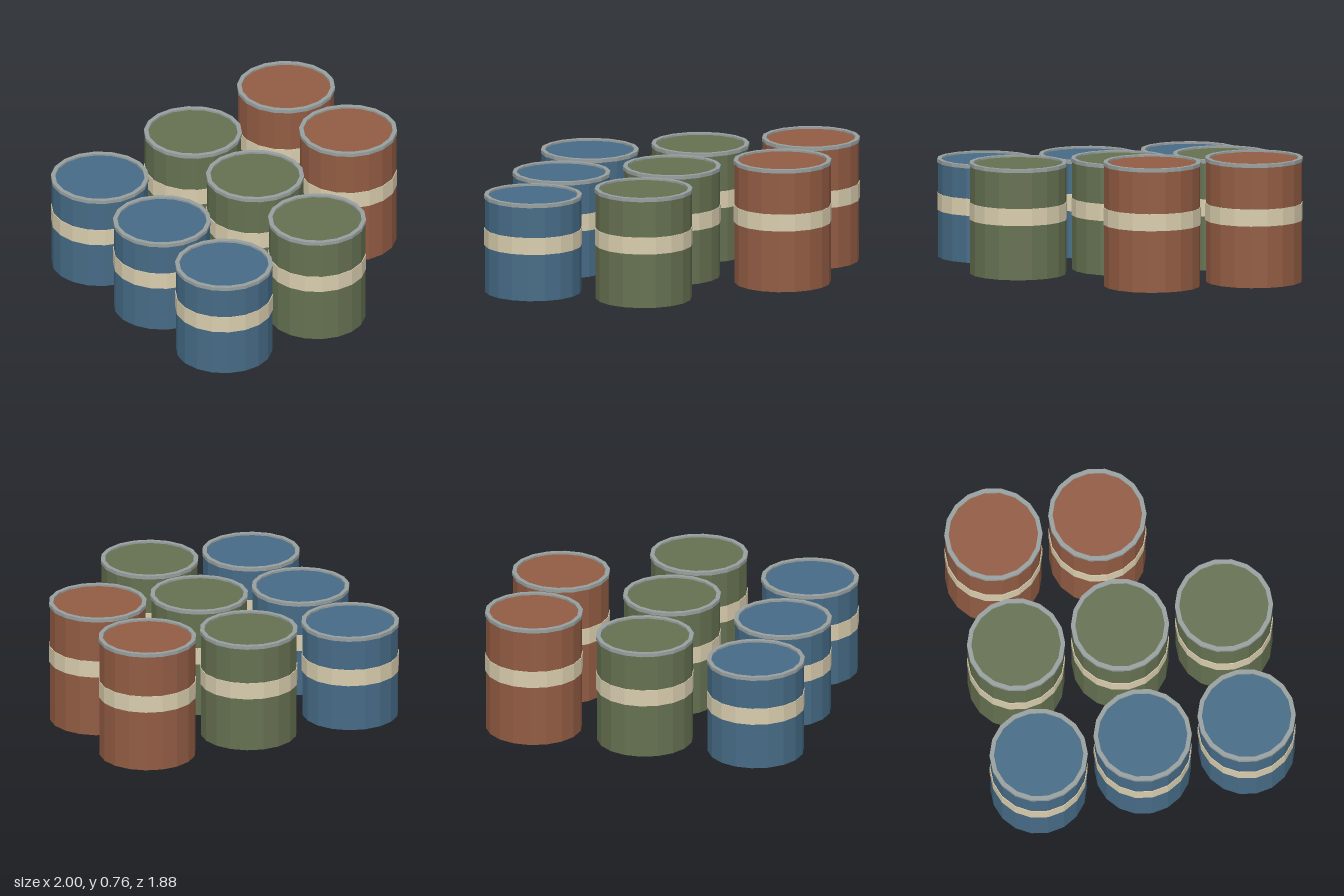
import * as THREE from 'three';

const SIDES = 18;
const RADIUS = 0.295;
const RIM_DROP = 0.022;

function paint(name, color) {
  const material = new THREE.MeshStandardMaterial({ color, flatShading: true });
  material.name = name;
  return material;
}

export function createModel() {
  const cream = paint('cream', 0xd9cdae);
  const steel = paint('steel', 0x98a09f);
  // one column of drums per colour
  const columns = [
    { name: 'blue', x: -0.7, height: 0.605, band: 0.343, rows: [-1, 0, 1], paint: paint('blue', 0x466b86) },
    { name: 'green', x: 0, height: 0.685, band: 0.388, rows: [-1, 0, 1], paint: paint('green', 0x657151) },
    { name: 'rust', x: 0.7, height: 0.765, band: 0.433, rows: [-1, 0], paint: paint('rust', 0x925c43) },
  ];

  function part(parent, name, geometry, material, y) {
    const mesh = new THREE.Mesh(geometry, material);
    mesh.name = name;
    mesh.position.y = y;
    parent.add(mesh);
  }

  // band wrapped around the drum
  const bandGeometry = new THREE.CylinderGeometry(0.299, 0.299, 0.105, SIDES);
  // raised lip with a hollow centre
  const rimGeometry = new THREE.LatheGeometry([
    [0.273, 0], [0.3, 0], [0.3, RIM_DROP], [0.273, RIM_DROP], [0.273, 0],
  ].map(([r, y]) => new THREE.Vector2(r, y)), SIDES);

  function makeDrum(column) {
    const drum = new THREE.Group();
    drum.name = column.name + 'Drum';
    // body, whose top forms the sunken lid
    const bodyHeight = column.height - 0.012;
    part(drum, 'body', new THREE.CylinderGeometry(RADIUS, RADIUS, bodyHeight, SIDES), column.paint, bodyHeight / 2);
    part(drum, 'band', bandGeometry, cream, column.band);
    part(drum, 'rim', rimGeometry, steel, column.height - RIM_DROP);
    // flat facet toward the front
    drum.rotation.y = Math.PI / 2;
    return drum;
  }

  const model = new THREE.Group();
  model.name = 'drumCluster';
  for (const column of columns) {
    for (const row of column.rows) {
      const drum = makeDrum(column);
      drum.position.set(column.x, 0, row * 0.647);
      model.add(drum);
    }
  }
  return model;
}
